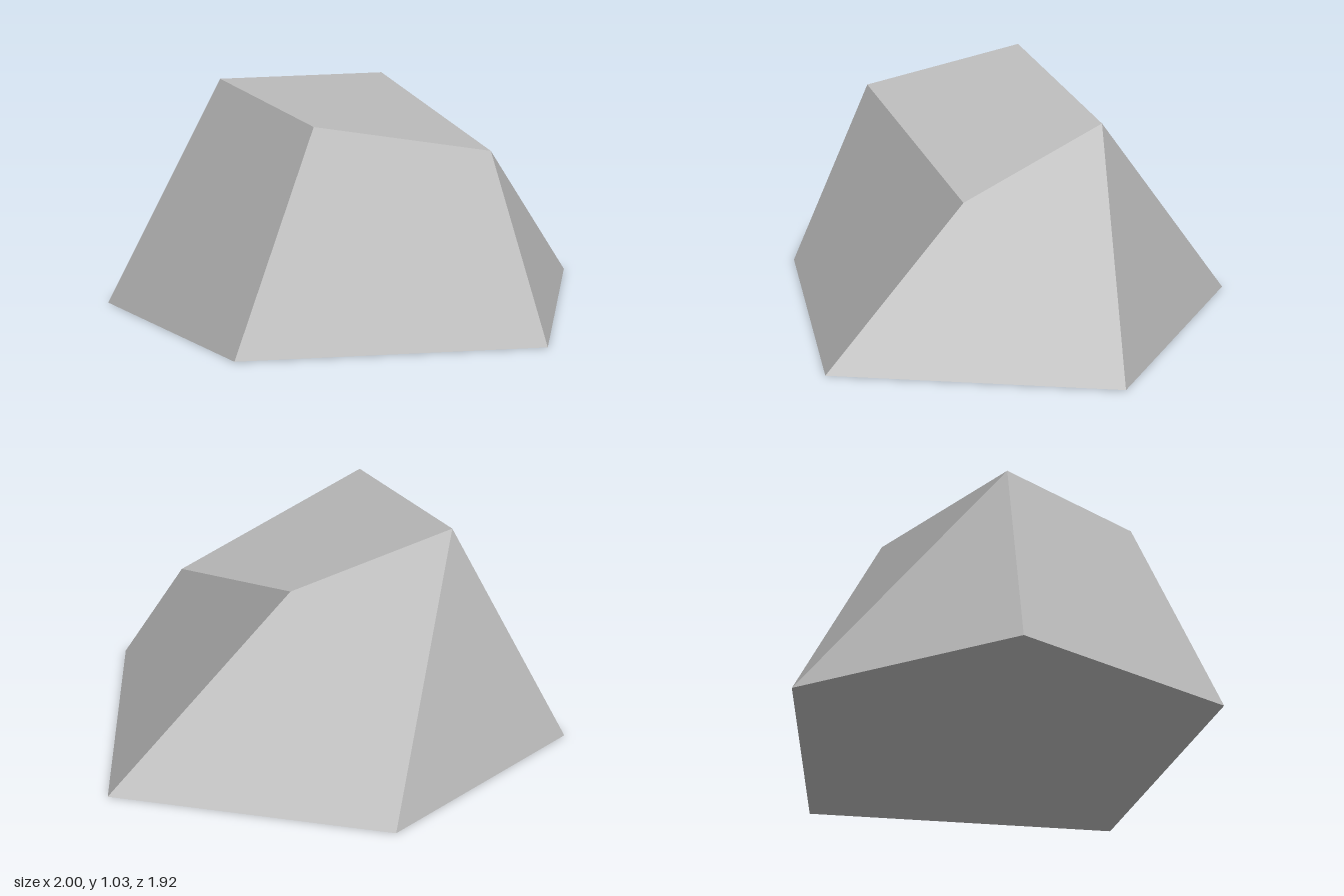
import * as THREE from 'three';

// Ground outline, counter-clockwise from above
const A = [-1, 0, 0], B = [-0.36, 0, 0.96], C = [1, 0, 0.6], D = [0.96, 0, -0.74], E = [-0.34, 0, -0.96];
// Tilted top outline
const P = [-0.505, 1.03, -0.02], Q = [-0.04, 0.98, 0.58], R = [0.7, 0.74, 0.03], S = [0.17, 0.945, -0.505];

// One facet: a fan from its first corner, with a single normal for the whole facet
function facet(corners) {
  const v = corners.map((c) => new THREE.Vector3(...c));
  const normal = new THREE.Vector3();
  const positions = [], normals = [];
  for (let i = 1; i < v.length - 1; i++) {
    const a = v[i].clone().sub(v[0]);
    const b = v[i + 1].clone().sub(v[0]);
    normal.add(a.cross(b));
    for (const p of [v[0], v[i], v[i + 1]]) positions.push(...p.toArray());
  }
  normal.normalize();
  for (let i = 0; i < positions.length; i += 3) normals.push(...normal.toArray());
  const geometry = new THREE.BufferGeometry();
  geometry.setAttribute('position', new THREE.Float32BufferAttribute(positions, 3));
  geometry.setAttribute('normal', new THREE.Float32BufferAttribute(normals, 3));
  return geometry;
}

export function createModel() {
  const group = new THREE.Group();
  group.name = 'rock';
  const stone = new THREE.MeshStandardMaterial({ name: 'stone grey', color: 0xb8b8b8 });
  const facets = {
    topFace: [Q, R, S, P],
    frontLeftFace: [C, R, Q, B],
    frontRightFace: [B, Q, P, A],
    leftFace: [D, S, R, C],
    backFace: [E, P, S, D],
    backRightFace: [E, A, P],
    underside: [A, E, D, C, B],
  };
  for (const [name, corners] of Object.entries(facets)) {
    const mesh = new THREE.Mesh(facet(corners), stone);
    mesh.name = name;
    group.add(mesh);
  }
  return group;
}
